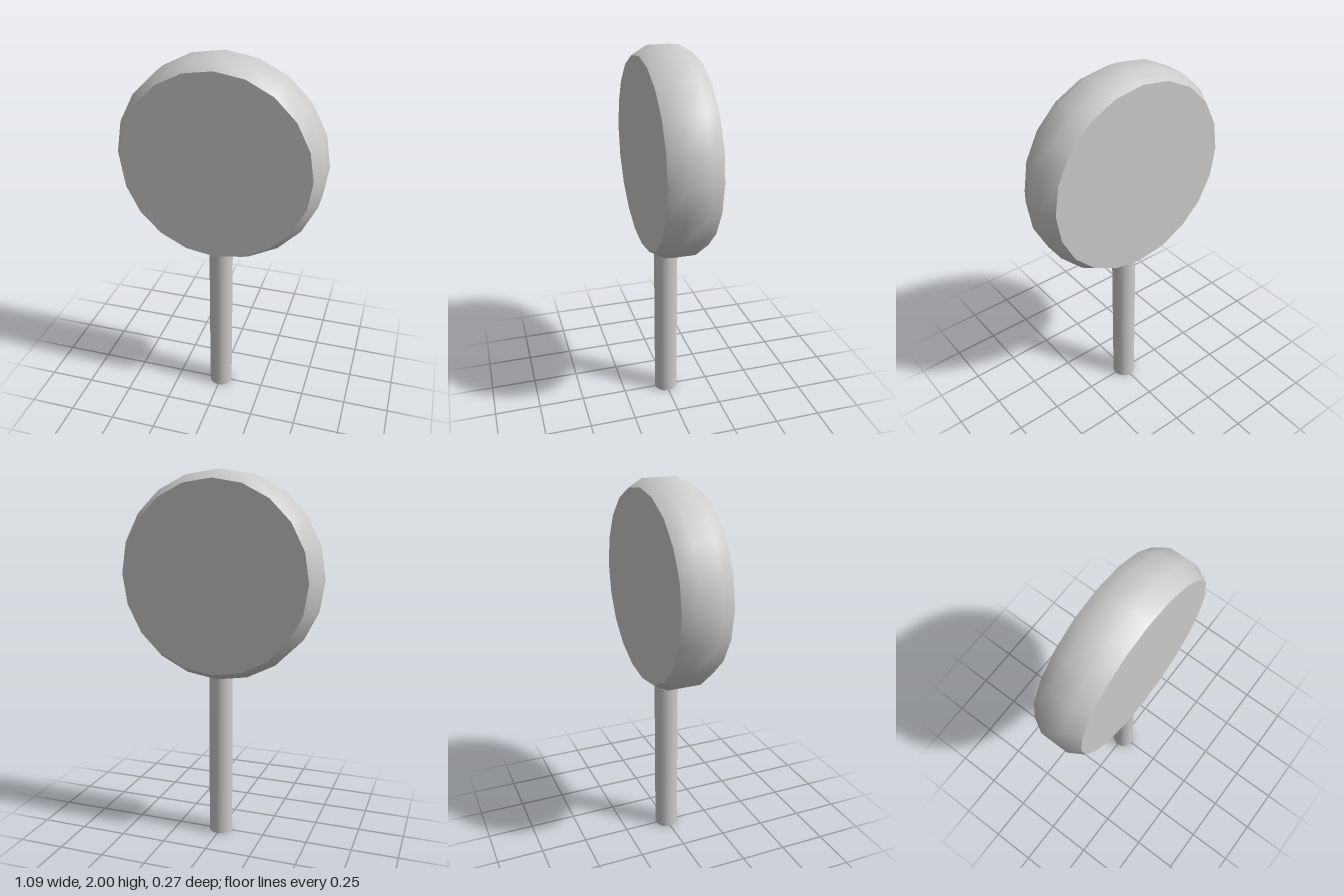
import * as THREE from 'three';

const SIDES = 20;

export function createModel() {
  const group = new THREE.Group();
  const material = new THREE.MeshStandardMaterial({ color: 0xcccccc });

  const add = (name, geometry, parent) => {
    const mesh = new THREE.Mesh(geometry, material);
    mesh.name = name;
    parent.add(mesh);
    return mesh;
  };

  // Round head: bevelled rim with a flat face on each side
  const head = new THREE.Group();
  head.name = 'head';
  head.position.y = 1.454;
  group.add(head);

  const back = { r: 0.504, z: -0.139 };
  const front = { r: 0.5, z: 0.134 };
  const profile = [
    [back.r, back.z], [0.546, -0.064], [0.546, 0.052], [front.r, front.z],
  ].map(([r, z]) => new THREE.Vector2(r, z));
  add('rim', new THREE.LatheGeometry(profile, SIDES).rotateX(Math.PI / 2), head);

  add('frontFace', new THREE.CircleGeometry(front.r, SIDES), head).position.z = front.z;
  const backFace = add('backFace', new THREE.CircleGeometry(back.r, SIDES), head);
  backFace.position.z = back.z;
  backFace.rotation.y = Math.PI;

  // Straight round stick, its top tucked into the head
  const stickHeight = 0.93;
  add('stick', new THREE.CylinderGeometry(0.064, 0.064, stickHeight, SIDES), group)
    .position.y = stickHeight / 2;

  return group;
}
